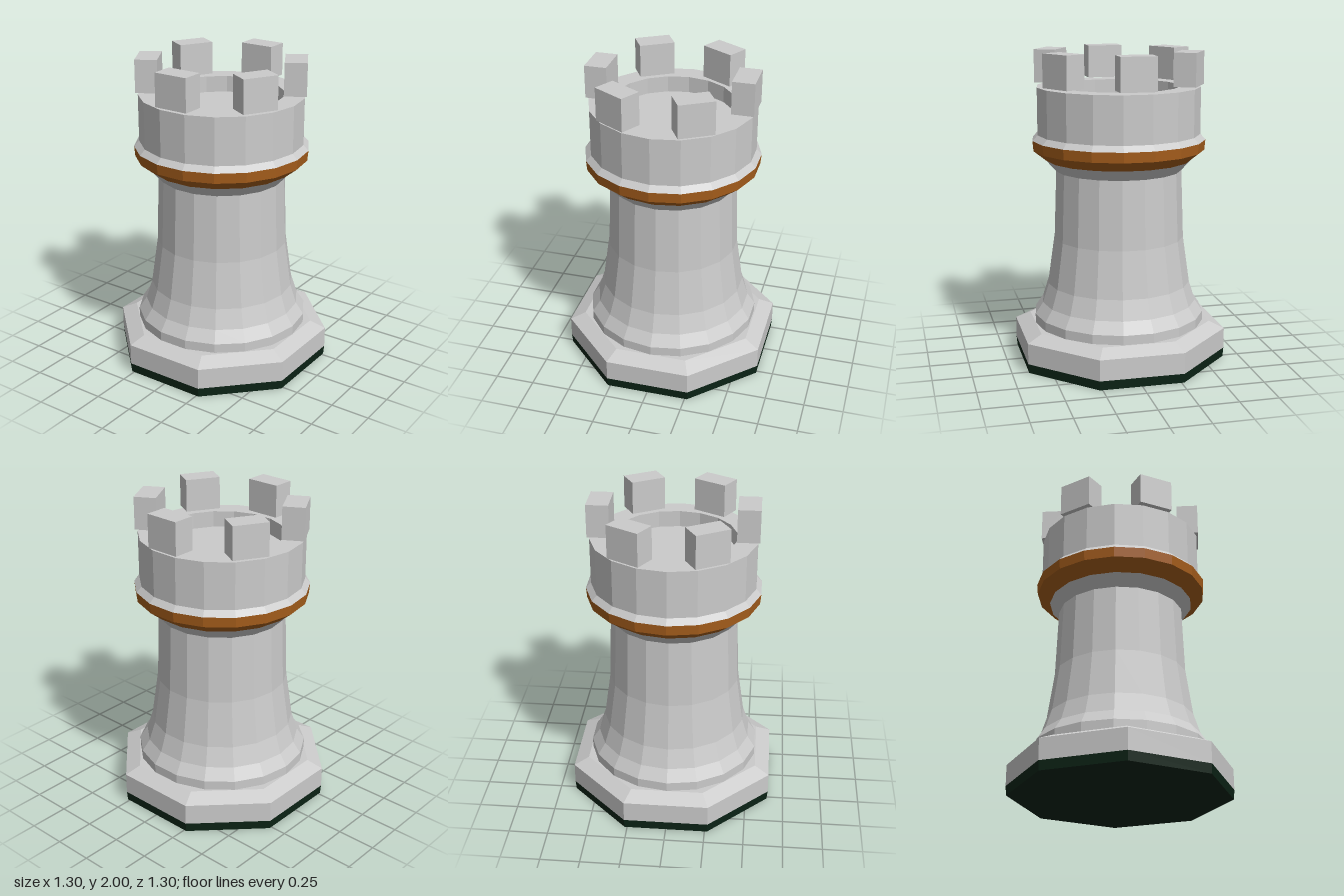
import * as THREE from 'three';

const mat = (color) => new THREE.MeshStandardMaterial({ color, flatShading: true });

export function createModel() {
  const group = new THREE.Group();
  const stone = mat(0xcccccc);
  const orange = mat(0xa85f1c);
  const green = mat(0x0c2416);

  const add = (name, geometry, material) => {
    const mesh = new THREE.Mesh(geometry, material);
    mesh.name = name;
    group.add(mesh);
    return mesh;
  };

  // Faceted turned part from [radius, height] pairs, listed bottom to top
  const turned = (name, profile, sides, phase, material) =>
    add(name, new THREE.LatheGeometry(profile.map(([r, y]) => new THREE.Vector2(r, y)), sides, phase), material);

  // Octagonal plinth: radii are given to the flats
  const k = 1 / Math.cos(Math.PI / 8);
  const octagon = (name, profile, material) =>
    turned(name, profile.map(([r, y]) => [r * k, y]), 8, Math.PI / 8, material);
  octagon('felt', [[0, 0], [0.643, 0], [0.648, 0.06]], green);
  octagon('plinth', [[0.648, 0.06], [0.648, 0.195], [0.555, 0.24], [0, 0.24]], stone);

  // Round tower parts, 18 sides with corners on the x axis
  const round = (name, profile, material) => turned(name, profile, 18, Math.PI / 2, material);
  round('shaft', [
    [0.555, 0.235], [0.555, 0.30], [0.505, 0.375], [0.465, 0.50],
    [0.422, 0.80], [0.406, 1.24], [0.468, 1.31],
  ], stone);
  round('collar', [[0.468, 1.31], [0.55, 1.375], [0.556, 1.44]], orange);
  round('crown', [
    [0.556, 1.44], [0.523, 1.475], [0.523, 1.775], [0.39, 1.775], [0.39, 1.67], [0, 1.67],
  ], stone);

  // Six battlements hovering just above the crown rim
  const block = new THREE.BoxGeometry(0.225, 0.21, 0.14);
  for (let i = 0; i < 6; i++) {
    const a = (i * Math.PI) / 3;
    const merlon = add('battlement', block, stone);
    merlon.position.set(Math.sin(a) * 0.457, 1.895, Math.cos(a) * 0.457);
    merlon.rotation.y = a;
  }

  return group;
}
